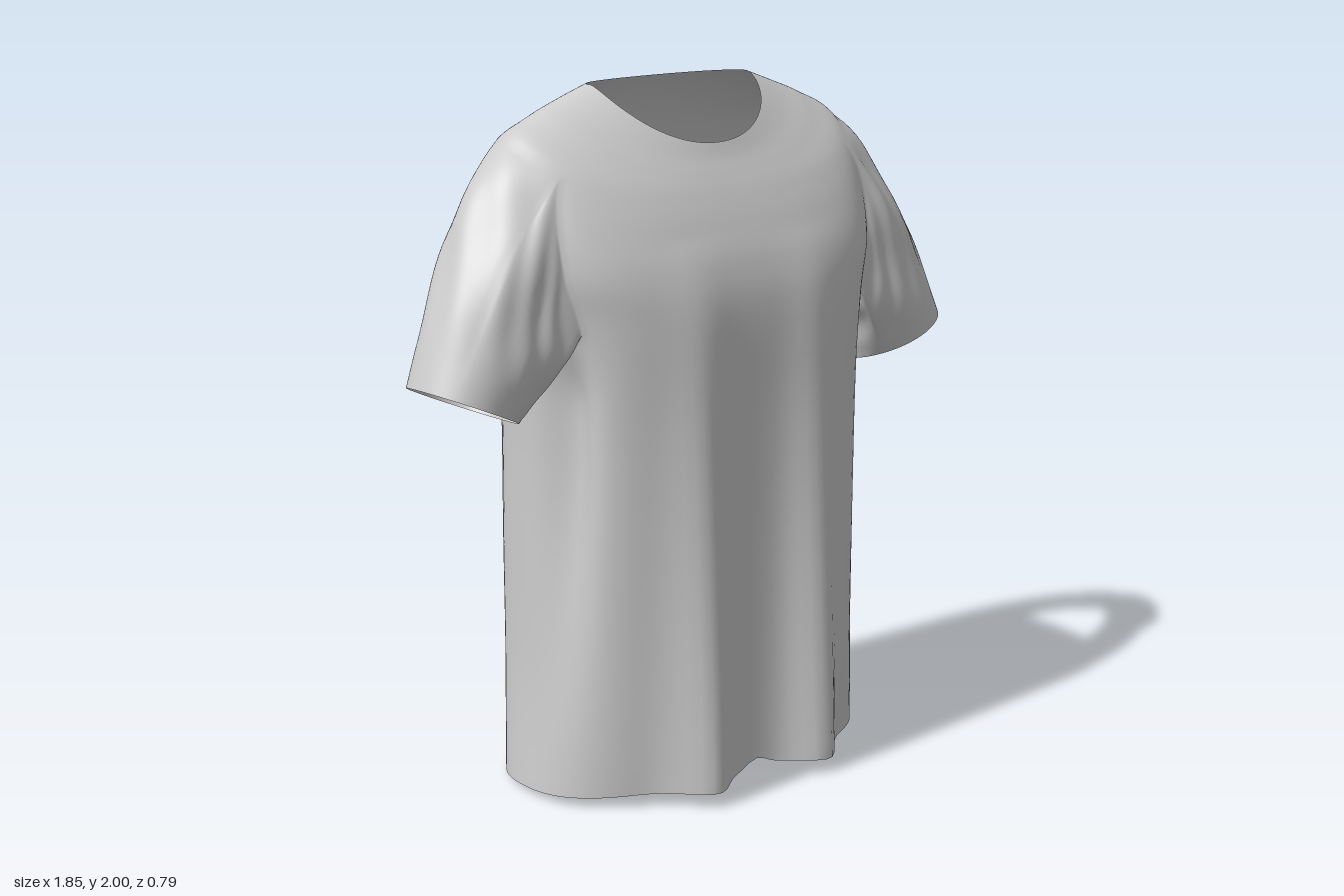
import * as THREE from 'three';

const N = 128;            // columns round the body
const SUB = 6;            // mesh rows per profile row
const STEPS = 22;         // rings along a sleeve

// Body rings, hem to neckline:
// half width, side y, side z, front y, front z, back y, back z, squareness
const RINGS = [
  [0.568, 0.02, -0.03, 0.045, 0.315, 0.0, -0.375, 2.4],
  [0.542, 0.35, -0.04, 0.36, 0.312, 0.34, -0.37, 2.8],
  [0.535, 0.75, -0.05, 0.75, 0.31, 0.75, -0.365, 3.1],
  [0.535, 1.1, -0.05, 1.1, 0.31, 1.1, -0.36, 3.2],
  [0.548, 1.36, -0.05, 1.38, 0.31, 1.38, -0.354, 3.2],
  [0.59, 1.53, -0.055, 1.52, 0.288, 1.56, -0.347, 3.15],
  [0.6, 1.72, -0.06, 1.63, 0.245, 1.7, -0.332, 2.9],
  [0.575, 1.865, -0.07, 1.71, 0.205, 1.81, -0.305, 2.5],
  [0.47, 1.927, -0.075, 1.76, 0.175, 1.89, -0.275, 2.3],
  [0.37, 1.967, -0.08, 1.8, 0.15, 1.95, -0.24, 2.15],
  [0.28, 2.0, -0.08, 1.84, 0.13, 1.993, -0.205, 2.1],
];
const ROWS = (RINGS.length - 1) * SUB;

// Armhole block in the body grid
const R0 = 4 * SUB, R1 = 7 * SUB, C0 = 20, C1 = 44;

const bell = (d, w) => Math.exp(-((d / w) ** 2));
const clamp01 = (v) => Math.min(1, Math.max(0, v));
const { smoothstep } = THREE.MathUtils;

// Smooth interpolation between the profile rows
function ringAt(row) {
  const f = row / SUB, i = Math.min(Math.floor(f), RINGS.length - 2), t = f - i;
  const at = (k) => RINGS[Math.min(Math.max(k, 0), RINGS.length - 1)];
  return RINGS[0].map((_, j) => {
    const [p0, p1, p2, p3] = [at(i - 1)[j], at(i)[j], at(i + 1)[j], at(i + 2)[j]];
    const a = (p2 - p0) / 2, b = (p3 - p1) / 2;
    return p1 + a * t + (3 * (p2 - p1) - 2 * a - b) * t * t + (2 * (p1 - p2) + a + b) * t ** 3;
  });
}

function bodyPoint(row, col) {
  const [w, yS, zS, yF, zF, yB, zB, n] = ringAt(row);
  const a = (col / N) * Math.PI * 2;
  const s = Math.sin(a), c = Math.cos(a);
  const r = (Math.abs(s) ** n + Math.abs(c) ** n) ** (-1 / n);
  const cz = c * r;
  let x = w * s * r;
  const front = cz > 0;
  let z = zS + (front ? zF - zS : zS - zB) * cz;
  const y = yS + ((front ? yF : yB) - yS) * Math.abs(cz) ** 1.4;

  // Hanging folds, strongest at the hem
  const hang = clamp01((1.6 - y) / 1.55);
  const ax = Math.abs(x);
  if (front) z += 0.097 * hang ** 0.9 * bell(ax - 0.21, 0.09) * clamp01(cz * 2);
  else z -= 0.03 * hang * bell(ax - 0.2, 0.13) * clamp01(-cz * 2);
  const lift = front ? 0.03 * bell(x, 0.05) * bell(y, 0.15) : 0;

  // Front panel tucks in ahead of the side seam, below the armpit
  const tuck = smoothstep(y, 0.15, 1.1) * (1 - smoothstep(y, 1.15, 1.42));
  x *= 1 - 0.13 * tuck * bell(cz - 0.4, 0.22) - 0.02 * tuck * bell(cz + 0.6, 0.15);
  return [x, y + lift, z];
}

// Ordered armhole edge of the left side, as [row, column]
function armholeLoop() {
  const loop = [];
  for (let c = C1; c > C0; c--) loop.push([R1, c]);
  for (let r = R1; r > R0; r--) loop.push([r, C0]);
  for (let c = C0; c < C1; c++) loop.push([R0, c]);
  for (let r = R0; r < R1; r++) loop.push([r, C1]);
  return loop;
}

// Point on the left sleeve, t = 0 at the armhole and 1 at the cuff
function sleevePoint(start, t) {
  const [x, y, z] = start;
  const q = Math.atan2((z + 0.05) / 0.21, (y - 1.6) / 0.24);
  const up = Math.cos(q), fwd = Math.sin(q);
  const end = [0.772 + 0.153 * up, 1.18 + 0.07 * up + 0.006 * fwd, -0.012 + 0.172 * fwd + 0.02 * up];
  const top = Math.max(0, up);
  const mid = [
    x + (end[0] - x) * 0.42 + 0.03 * top - 0.005,
    y + (end[1] - y) * 0.42 + 0.14 * top,
    z + (end[2] - z) * 0.42 + 0.025 * fwd,
  ];
  const p = [x, y, z].map((v, i) => (1 - t) ** 2 * v + 2 * t * (1 - t) * mid[i] + t * t * end[i]);
  // Soft wrinkles
  const k = Math.sin(Math.PI * Math.min(1, t * 1.1)) * 0.006 *
    (Math.sin(5 * q + 7 * t) + 0.6 * Math.sin(9 * q - 11 * t + 1));
  return [p[0] + k * up * 0.8, p[1] + k * up * 0.5, p[2] + k * fwd];
}

export function createModel() {
  const points = [], bodyFaces = [];
  const id = (r, c) => r * N + ((c + N) % N);
  const quad = (list, a, b, c, d, flip) =>
    flip ? list.push(a, c, b, a, d, c) : list.push(a, b, c, a, c, d);

  // Body grid, leaving the armholes open
  for (let r = 0; r <= ROWS; r++) for (let c = 0; c < N; c++) points.push(bodyPoint(r, c));
  for (let r = 0; r < ROWS; r++) {
    for (let c = 0; c < N; c++) {
      const m = c < N / 2 ? c : N - 1 - c;
      if (r >= R0 && r < R1 && m >= C0 && m < C1) continue;
      quad(bodyFaces, id(r, c), id(r, c + 1), id(r + 1, c + 1), id(r + 1, c));
    }
  }

  // Sleeves grown from the armhole edges, mirrored
  const loop = armholeLoop(), L = loop.length;
  const sleeves = [1, -1].map((side) => {
    const faces = [];
    let ring = loop.map(([r, c]) => id(r, side > 0 ? c : N - c));
    for (let s = 1; s <= STEPS; s++) {
      const base = points.length;
      for (const [r, c] of loop) {
        const [x, y, z] = sleevePoint(bodyPoint(r, c), s / STEPS);
        points.push([x * side, y, z]);
      }
      const next = loop.map((_, i) => base + i);
      for (let i = 0; i < L; i++) {
        const j = (i + 1) % L;
        quad(faces, ring[i], ring[j], next[j], next[i], side < 0);
      }
      ring = next;
    }
    return faces;
  });

  // Shared normals keep the sleeve seams smooth
  const whole = new THREE.BufferGeometry();
  whole.setAttribute('position', new THREE.Float32BufferAttribute(points.flat(), 3));
  whole.setIndex([...bodyFaces, ...sleeves[0], ...sleeves[1]]);
  whole.computeVertexNormals();

  const cloth = new THREE.MeshStandardMaterial({ color: 0xcccccc, side: THREE.DoubleSide });
  cloth.name = 'light grey cloth';

  const group = new THREE.Group();
  group.name = 'shirt';
  const addPart = (name, faces) => {
    const geometry = new THREE.BufferGeometry();
    geometry.setAttribute('position', whole.attributes.position);
    geometry.setAttribute('normal', whole.attributes.normal);
    geometry.setIndex(faces);
    const mesh = new THREE.Mesh(geometry, cloth);
    mesh.name = name;
    group.add(mesh);
  };
  addPart('body', bodyFaces);
  addPart('leftSleeve', sleeves[0]);
  addPart('rightSleeve', sleeves[1]);
  return group;
}
